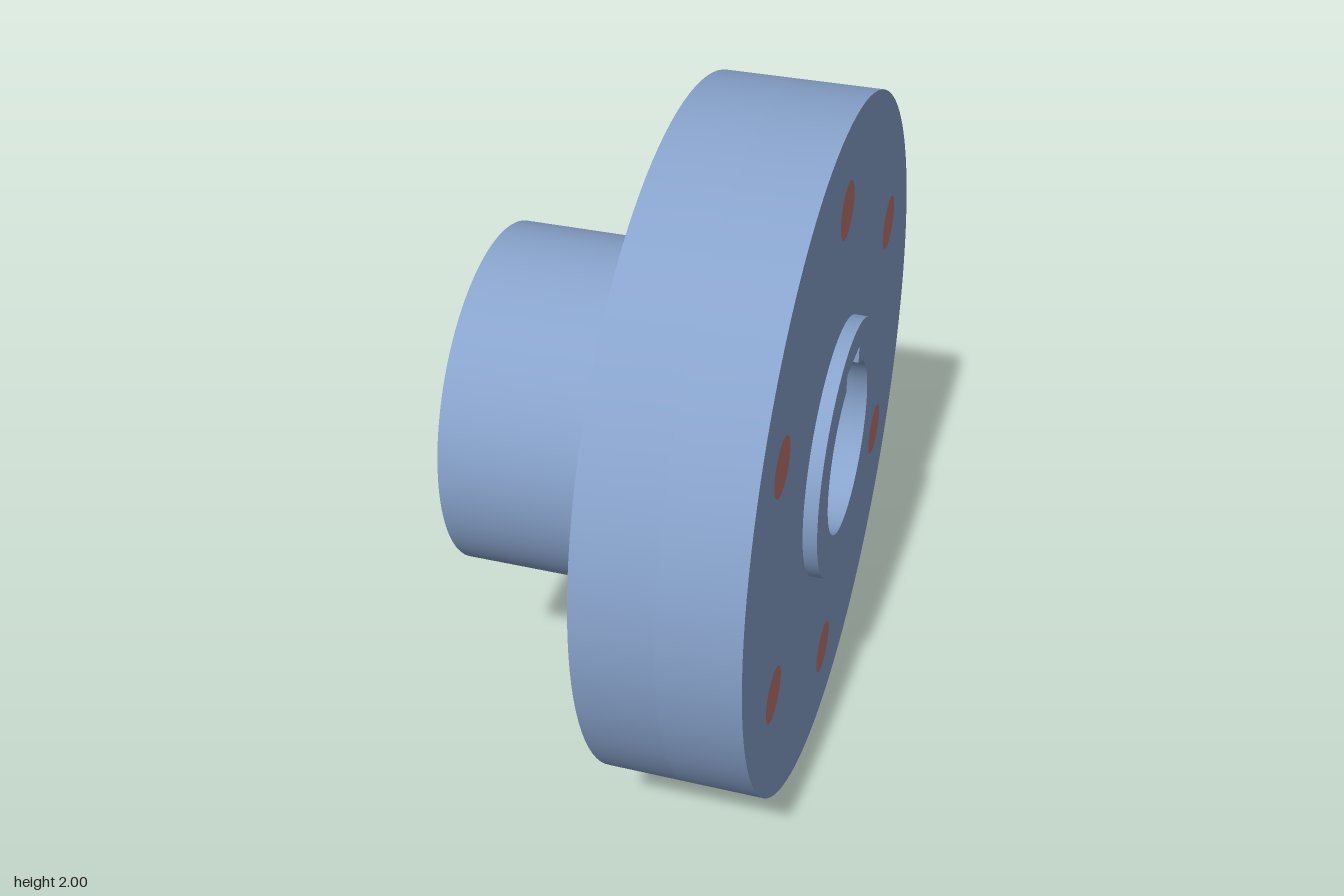
import * as THREE from 'three';
import { toCreasedNormals } from 'three/addons/utils/BufferGeometryUtils.js';

const HUB_END = -0.52, RIM_END = 0.03, FLOOR = 0.255, FACE = 0.477, LIP_END = 0.517;
const BOLT_CIRCLE = 0.75, BOLT_RADIUS = 0.08, BOLTS = 6;

const steel = new THREE.MeshStandardMaterial({ color: 0x88a3cc });
steel.name = 'blue steel';
const red = new THREE.MeshStandardMaterial({ color: 0xbf7571 });
red.name = 'red bolt hole';

function circle(radius, x = 0, y = 0, Type = THREE.Shape) {
  return new Type().absarc(x, y, radius, 0, Math.PI * 2, false);
}

// Round bore with a rectangular keyway at the top
function keyedBore() {
  const r = 0.25, half = 0.078, top = 0.293;
  const a = Math.asin(half / r);
  const path = new THREE.Path();
  path.moveTo(half, top);
  path.lineTo(-half, top);
  path.absarc(0, 0, r, Math.PI / 2 + a, Math.PI * 2.5 - a, false);
  path.closePath();
  return path;
}

// Extrudes an outline along x, between two positions on the shaft axis
function addPart(group, name, shape, holes, x0, x1, material = steel) {
  shape.holes.push(...holes);
  const solid = new THREE.ExtrudeGeometry(shape, {
    depth: x1 - x0, bevelEnabled: false, curveSegments: 56,
  });
  solid.rotateY(Math.PI / 2);
  const mesh = new THREE.Mesh(toCreasedNormals(solid, 0.5), material);
  mesh.name = name;
  mesh.position.set(x0, 1, 0);
  group.add(mesh);
}

export function createModel() {
  const model = new THREE.Group();
  model.name = 'flangedHub';

  const bolts = Array.from({ length: BOLTS }, (_, i) => {
    const a = Math.PI / 2 + (i / BOLTS) * Math.PI * 2;
    return [Math.cos(a) * BOLT_CIRCLE, Math.sin(a) * BOLT_CIRCLE];
  });
  const boltHoles = bolts.map(([x, y]) => circle(BOLT_RADIUS, x, y, THREE.Path));

  // Long hub, web disc, overhanging rim and raised lip
  addPart(model, 'hub', circle(0.5), [keyedBore()], HUB_END, FLOOR);
  addPart(model, 'disc', circle(1), [keyedBore(), ...boltHoles], FLOOR, FACE);
  addPart(model, 'rim', circle(1), [circle(0.905, 0, 0, THREE.Path)], RIM_END, FLOOR);
  addPart(model, 'lip', circle(0.375), [keyedBore()], FACE, LIP_END);

  // Flush plugs filling the bolt holes
  bolts.forEach(([x, y], i) =>
    addPart(model, `boltPlug${i + 1}`, circle(BOLT_RADIUS, x, y), [], FLOOR, FACE, red));

  return model;
}
